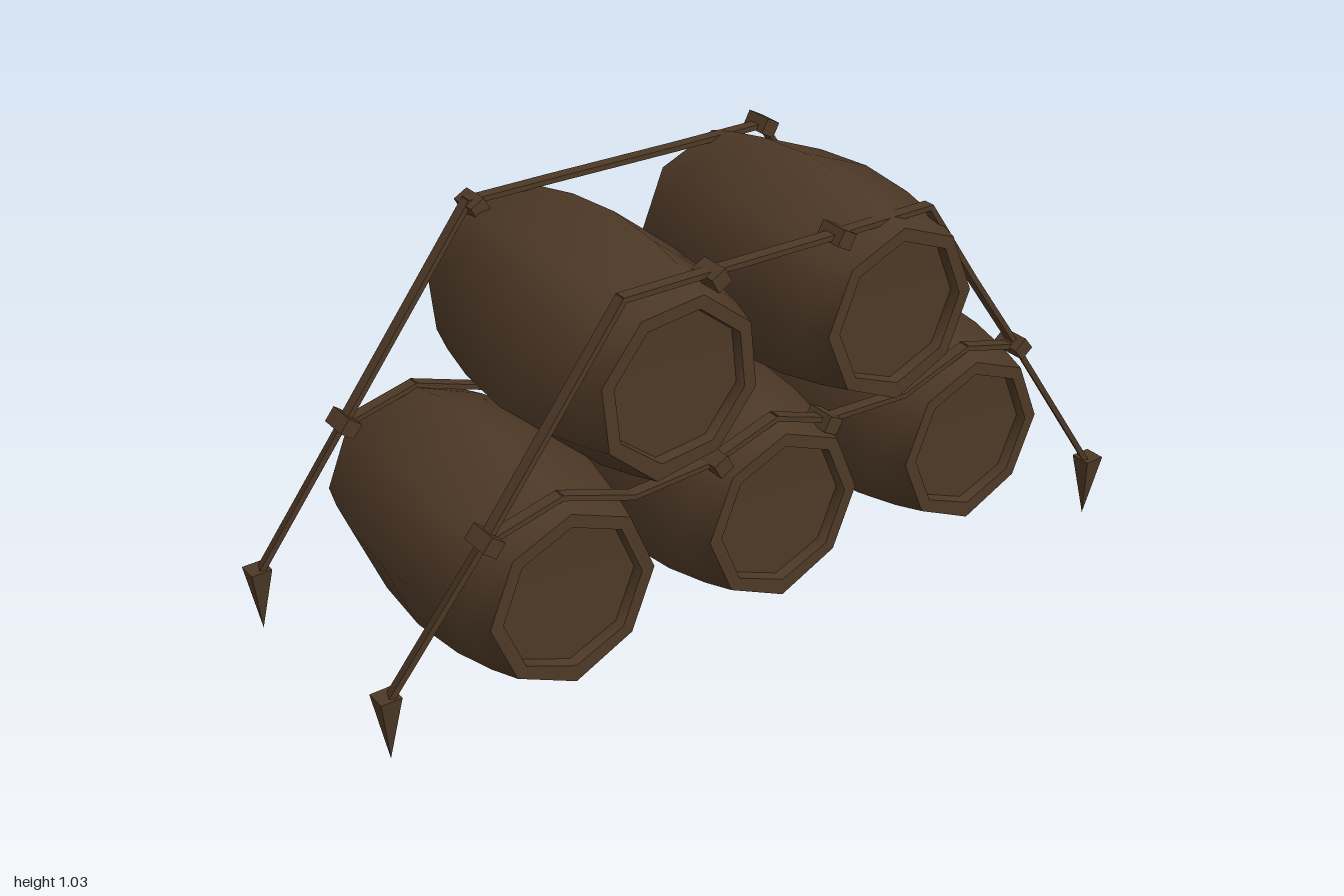
import * as THREE from 'three';
import { toCreasedNormals } from 'three/addons/utils/BufferGeometryUtils.js';

const wood = new THREE.MeshStandardMaterial({ color: 0x4d3826 });
wood.name = 'dark brown wood';

const SIDES = 8;
const BOTTOM = 6; // index of the corner pointing straight down

// Barrel lofted from octagonal loops, each [z, radius, radius of the bottom corner]
function barrelGeometry() {
  const loops = [
    [0.33, 0, 0], [0.335, 0.176, 0.176], [0.361, 0.18, 0.18], [0.361, 0.213, 0.222],
    [0.28, 0.236, 0.245], [0.16, 0.26, 0.273], [0.16, 0.26, 0.193],
    [0, 0.273, 0.203],
    [-0.16, 0.26, 0.193], [-0.16, 0.26, 0.273], [-0.28, 0.236, 0.245],
    [-0.361, 0.213, 0.222], [-0.361, 0.18, 0.18], [-0.335, 0.176, 0.176], [-0.33, 0, 0],
  ];
  const corner = ([z, r, low], j) => {
    const a = (j * 2 * Math.PI) / SIDES;
    const rad = j % SIDES === BOTTOM ? low : r;
    return new THREE.Vector3(Math.cos(a) * rad, Math.sin(a) * rad, z);
  };
  const pos = [];
  const tri = (a, b, c) => {
    if (a.equals(b) || b.equals(c) || a.equals(c)) return;
    for (const p of [a, b, c]) pos.push(p.x, p.y, p.z);
  };
  for (let i = 0; i < loops.length - 1; i++) {
    for (let j = 0; j < SIDES; j++) {
      const a = corner(loops[i], j), b = corner(loops[i], j + 1);
      const c = corner(loops[i + 1], j + 1), d = corner(loops[i + 1], j);
      tri(a, d, c);
      tri(a, c, b);
    }
  }
  const g = new THREE.BufferGeometry();
  g.setAttribute('position', new THREE.Float32BufferAttribute(pos, 3));
  g.computeVertexNormals();
  return toCreasedNormals(g, THREE.MathUtils.degToRad(52));
}

// Flat rope made of straight box segments between points
function rope(name, points) {
  const group = new THREE.Group();
  group.name = name;
  for (let i = 0; i < points.length - 1; i++) {
    const a = new THREE.Vector3(...points[i]);
    const b = new THREE.Vector3(...points[i + 1]);
    const seg = new THREE.Mesh(new THREE.BoxGeometry(0.03, 0.013, a.distanceTo(b) + 0.008), wood);
    seg.name = 'ropeSegment';
    seg.position.lerpVectors(a, b, 0.5);
    seg.lookAt(b);
    group.add(seg);
  }
  return group;
}

export function createModel() {
  const model = new THREE.Group();
  model.name = 'barrelStack';
  const add = (name, geometry, x, y, z, roll = 0) => {
    const m = new THREE.Mesh(geometry, wood);
    m.name = name;
    m.position.set(x, y, z);
    m.rotation.z = roll;
    model.add(m);
    return m;
  };

  // Barrels: three below, two above
  const barrel = barrelGeometry();
  add('lowerBarrelRight', barrel, -0.567, 0.328, -0.015);
  add('lowerBarrelMiddle', barrel, 0.013, 0.328, -0.015);
  add('lowerBarrelLeft', barrel, 0.595, 0.328, -0.015);
  add('upperBarrelRight', barrel, -0.28, 0.755, -0.015, -0.29);
  add('upperBarrelLeft', barrel, 0.33, 0.757, -0.002);

  // Stakes: upside-down square pyramids
  const stake = toCreasedNormals(
    new THREE.ConeGeometry(0.037, 0.168, 4).rotateY(Math.PI / 4).rotateX(Math.PI), 0.3);
  const knot = new THREE.BoxGeometry(0.04, 0.04, 0.075);

  // Front and back lashings
  const lashings = [
    { name: 'front', z: 0.3, right: 0.22, left: 0.385, knots: [-0.165, 0.18] },
    { name: 'back', z: -0.32, right: -0.395, left: -0.235, knots: [-0.385, 0.45] },
  ];
  for (const { name, z, right, left, knots } of lashings) {
    model.add(rope(name + 'UpperRope', [
      [-0.972, 0.15, right], [-0.755, 0.525, z], [-0.4, 0.985, z], [-0.165, 0.982, z],
      [0.18, 0.975, z], [0.45, 0.972, z], [0.6, 0.75, z], [0.76, 0.525, z], [0.972, 0.15, left],
    ]));
    model.add(rope(name + 'LowerRope', [
      [-0.755, 0.52, z], [-0.567, 0.565, z], [-0.38, 0.5, z], [-0.165, 0.51, z],
      [0.013, 0.565, z], [0.17, 0.51, z], [0.4, 0.5, z], [0.595, 0.565, z], [0.76, 0.52, z],
    ]));
    add(name + 'RightStake', stake, -0.973, 0.084, right);
    add(name + 'LeftStake', stake, 0.973, 0.084, left);
    for (const x of knots) add(name + 'TopKnot', knot, x, 0.972, z, x < 0 ? 0.5 : -0.5);
    for (const x of [-0.755, 0.76]) add(name + 'SideKnot', knot, x, 0.522, z, x < 0 ? 0.9 : -0.9);
    for (const x of [-0.155, 0.16]) add(name + 'MiddleKnot', knot, x, 0.508, z, x < 0 ? 0.5 : -0.5);
  }
  return model;
}
